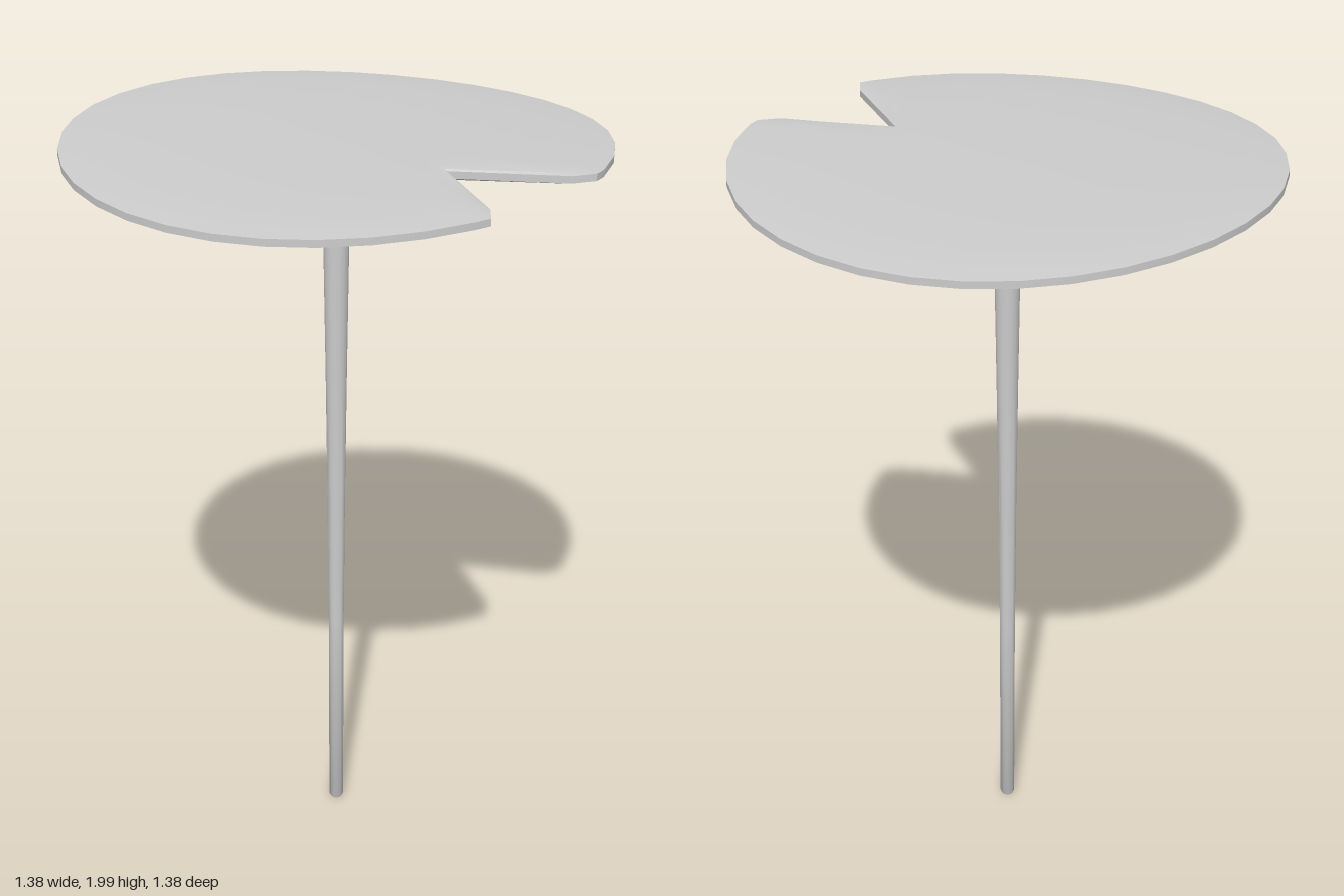
import * as THREE from 'three';
import { toCreasedNormals } from 'three/addons/utils/BufferGeometryUtils.js';

const material = new THREE.MeshStandardMaterial({ color: 0xcccccc });

// Outline of the leaf as [angle in degrees from +x towards +z, radius]
function leafOutline() {
  const outline = [[42.9, 0.683], [46.3, 0.637], [60, 0.36], [73.6, 0.636], [76.6, 0.688]];
  for (let a = 80; a <= 400; a += 10) outline.push([a, 0.688]);
  return outline;
}

// Leaf skin: from the top centre out, over the rim, and back in down the funnel
function leafGeometry() {
  const outline = leafOutline();
  const n = outline.length;
  // [inner radius, blend towards the outline, height]
  const rows = [
    [0, 0, 1.983], [0.1, 0, 1.983], [0.2, 0, 1.983], [0.3, 0, 1.983],
    [0.3, 0.33, 1.983], [0.3, 0.66, 1.981], [0.3, 0.88, 1.978], [0.3, 1, 1.974],
    [0.3, 1, 1.956], [0.3, 0.88, 1.952], [0.3, 0.66, 1.95], [0.3, 0.33, 1.948],
    [0.3, 0, 1.944], [0.24, 0, 1.935], [0.18, 0, 1.916], [0.13, 0, 1.897],
    [0.08, 0, 1.87], [0.05, 0, 1.852], [0.034, 0, 1.838],
  ];
  const positions = [];
  for (const [inner, blend, height] of rows) {
    for (const [deg, edge] of outline) {
      const a = THREE.MathUtils.degToRad(deg);
      const r = THREE.MathUtils.lerp(inner, edge, blend);
      // gentle wave: two opposite quarters lift, the other two sink
      const wave = 0.016 * Math.sin(2 * a) * (r / 0.688) ** 2;
      positions.push(r * Math.cos(a), height + wave, r * Math.sin(a));
    }
  }
  const index = [];
  for (let k = 0; k < rows.length - 1; k++) {
    for (let i = 0; i < n; i++) {
      const j = (i + 1) % n;
      const a = k * n + i, b = a + n, c = (k + 1) * n + j, d = k * n + j;
      index.push(a, c, b);
      if (k > 0) index.push(a, d, c);
    }
  }
  const geometry = new THREE.BufferGeometry();
  geometry.setAttribute('position', new THREE.Float32BufferAttribute(positions, 3));
  geometry.setIndex(index);
  return toCreasedNormals(geometry, 0.7);
}

// Slender stem, widening slowly towards the leaf
function stemGeometry() {
  const profile = [
    [0, 0], [0.015, 0], [0.02, 0.01], [0.021, 0.6], [0.024, 1.0],
    [0.028, 1.35], [0.033, 1.7], [0.034, 1.838],
  ].map(([r, y]) => new THREE.Vector2(r, y));
  return toCreasedNormals(new THREE.LatheGeometry(profile, 16), 0.7);
}

export function createModel() {
  const group = new THREE.Group();
  const parts = { leaf: leafGeometry(), stem: stemGeometry() };
  for (const [name, geometry] of Object.entries(parts)) {
    const mesh = new THREE.Mesh(geometry, material);
    mesh.name = name;
    group.add(mesh);
  }
  return group;
}
